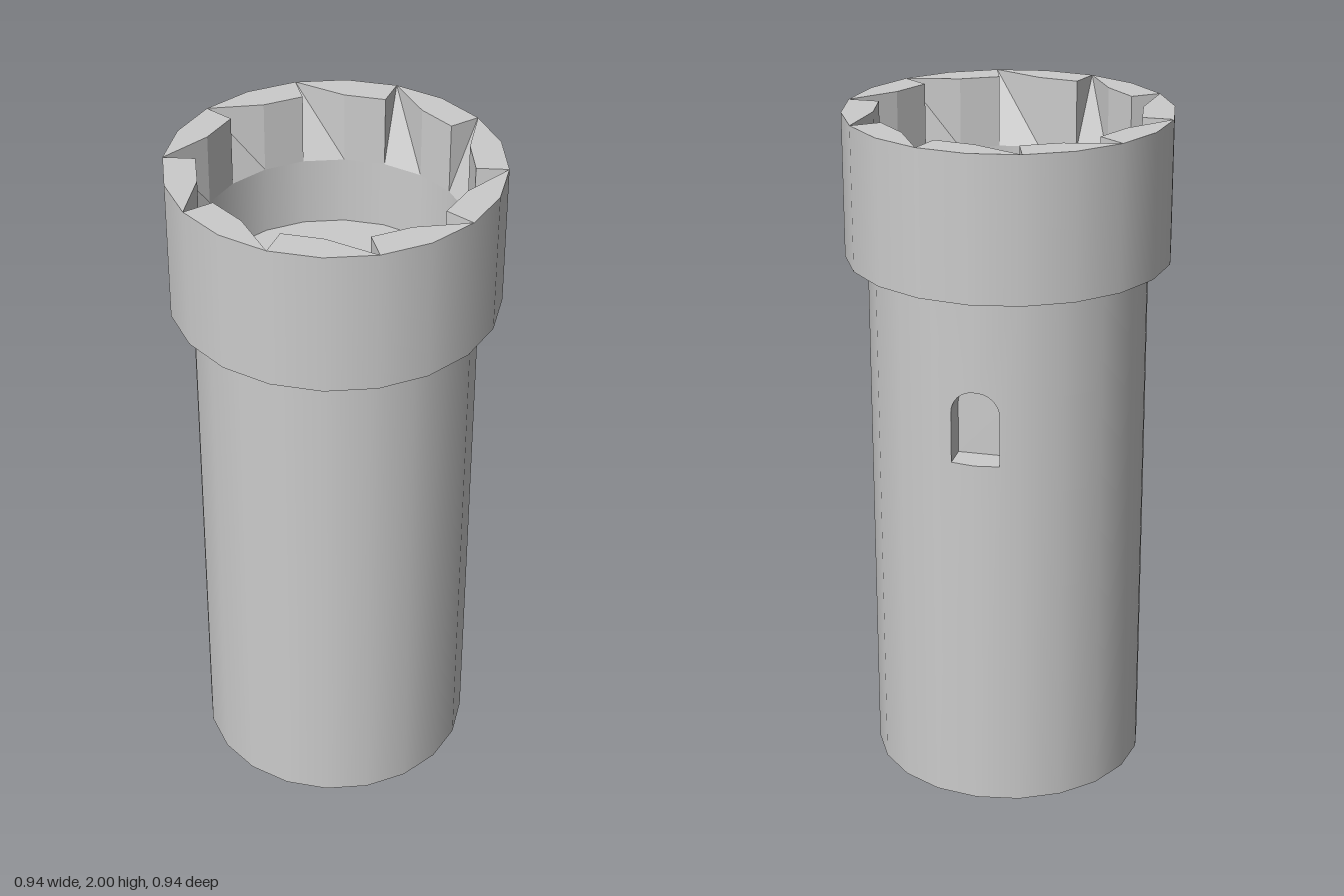
import * as THREE from 'three';

const SIDES = 20, STEP = Math.PI * 2 / SIDES;
const BODY_R = 0.405, OUTER_R = 0.47, INNER_R = 0.38;
const LEDGE = 1.58, NOTCH = 1.79, TOP = 2;

const grey = (side = THREE.FrontSide, flatShading = false) =>
  new THREE.MeshStandardMaterial({ color: 0xcccccc, side, flatShading });

function add(group, name, geometry, material = grey()) {
  const mesh = new THREE.Mesh(geometry, material);
  mesh.name = name;
  group.add(mesh);
  return mesh;
}

// Horizontal disc facing up or down
function disc(radius, y, up) {
  const g = new THREE.CircleGeometry(radius, SIDES);
  g.rotateX(up ? -Math.PI / 2 : Math.PI / 2);
  return g.translate(0, y, 0);
}

function tube(radius, y0, y1) {
  return new THREE.CylinderGeometry(radius, radius, y1 - y0, SIDES, 1, true).translate(0, (y0 + y1) / 2, 0);
}

// Non-indexed geometry from quads and triangles of Vector3
function facets(faces) {
  const points = [];
  for (const f of faces)
    for (let i = 1; i < f.length - 1; i++) points.push(f[0], f[i], f[i + 1]);
  const g = new THREE.BufferGeometry().setFromPoints(points);
  g.computeVertexNormals();
  return g;
}

// Depth of the two back facets of the shaft at a given x
const backZ = x => -(BODY_R - Math.abs(x) * Math.tan(STEP / 2));

// Arched window outline, right half, from crown to sill
const WIN = { half: 0.07, sill: 1.08, spring: 1.23, depth: 0.315 };
function archHalf(sign) {
  const pts = [];
  for (let i = 0; i <= 8; i++) {
    const a = Math.PI / 2 * (1 - i / 8);
    pts.push(new THREE.Vector2(sign * WIN.half * Math.cos(a), WIN.spring + WIN.half * Math.sin(a)));
  }
  pts.push(new THREE.Vector2(sign * WIN.half, WIN.sill), new THREE.Vector2(0, WIN.sill));
  return pts;
}

// One back facet of the shaft with half of the window cut out
function backFacet(sign) {
  const w = sign * BODY_R * Math.sin(STEP);
  const shape = new THREE.Shape([
    new THREE.Vector2(0, 0), new THREE.Vector2(w, 0),
    new THREE.Vector2(w, LEDGE), new THREE.Vector2(0, LEDGE),
    ...archHalf(sign)
  ]);
  const g = new THREE.ShapeGeometry(shape);
  const p = g.attributes.position, n = g.attributes.normal;
  for (let i = 0; i < p.count; i++) {
    const x = -p.getX(i), z = backZ(x), r = Math.hypot(x, z);
    p.setXYZ(i, x, p.getY(i), z);
    n.setXYZ(i, x / r, 0, z / r);
  }
  return g;
}

function buildShaft() {
  const shaft = new THREE.Group();
  shaft.name = 'shaft';
  const wall = new THREE.CylinderGeometry(BODY_R, BODY_R, LEDGE, SIDES - 2, 1, true,
    Math.PI + STEP, Math.PI * 2 - 2 * STEP);
  add(shaft, 'shaftWall', wall.translate(0, LEDGE / 2, 0));
  for (const s of [-1, 1]) add(shaft, 'shaftBackWall', backFacet(s));
  add(shaft, 'shaftBase', disc(BODY_R, 0, false));

  // Window niche: jambs, sill and rear panel
  const outline = [...archHalf(1), ...archHalf(-1).reverse().slice(1)];
  const jambs = [];
  for (let i = 0; i < outline.length - 1; i++) {
    const a = outline[i], b = outline[i + 1];
    jambs.push([
      new THREE.Vector3(a.x, a.y, backZ(a.x)), new THREE.Vector3(b.x, b.y, backZ(b.x)),
      new THREE.Vector3(b.x, b.y, -WIN.depth), new THREE.Vector3(a.x, a.y, -WIN.depth)
    ]);
  }
  add(shaft, 'windowReveal', facets(jambs), grey(THREE.DoubleSide, true));
  const panel = new THREE.ShapeGeometry(new THREE.Shape(outline.slice(0, -1)));
  add(shaft, 'windowPanel', panel.rotateY(Math.PI).translate(0, 0, -WIN.depth));
  return shaft;
}

function buildCrown() {
  const crown = new THREE.Group();
  crown.name = 'crown';
  add(crown, 'crownOuterWall', tube(OUTER_R, LEDGE, TOP));
  add(crown, 'crownInnerWall', tube(INNER_R, LEDGE, NOTCH), grey(THREE.BackSide));
  add(crown, 'crownUnderside', disc(OUTER_R, LEDGE, false));
  add(crown, 'platformFloor', disc(INNER_R, LEDGE + 0.005, true));

  // Alternating full merlons and wedge-shaped recesses
  const at = (r, k, y) => new THREE.Vector3(r * Math.cos(k * STEP), y, r * Math.sin(k * STEP));
  const merlons = [], recesses = [];
  for (let k = 0; k < SIDES; k++) {
    const o1 = at(OUTER_R, k, TOP), o2 = at(OUTER_R, k + 1, TOP);
    const i1 = at(INNER_R, k, TOP), i2 = at(INNER_R, k + 1, TOP);
    const low1 = at(INNER_R, k, NOTCH), low2 = at(INNER_R, k + 1, NOTCH);
    if (k % 2) merlons.push([o1, i1, i2, o2], [i2, i1, low1, low2]);
    else recesses.push([o1, i2, o2], [o1, low2, i2], [o1, low1, low2], [o1, i1, low1]);
  }
  add(crown, 'merlons', facets(merlons), grey(THREE.DoubleSide, true));
  add(crown, 'recesses', facets(recesses), grey(THREE.DoubleSide, true));
  return crown;
}

export function createModel() {
  const tower = new THREE.Group();
  tower.name = 'tower';
  tower.add(buildShaft(), buildCrown());
  return tower;
}
